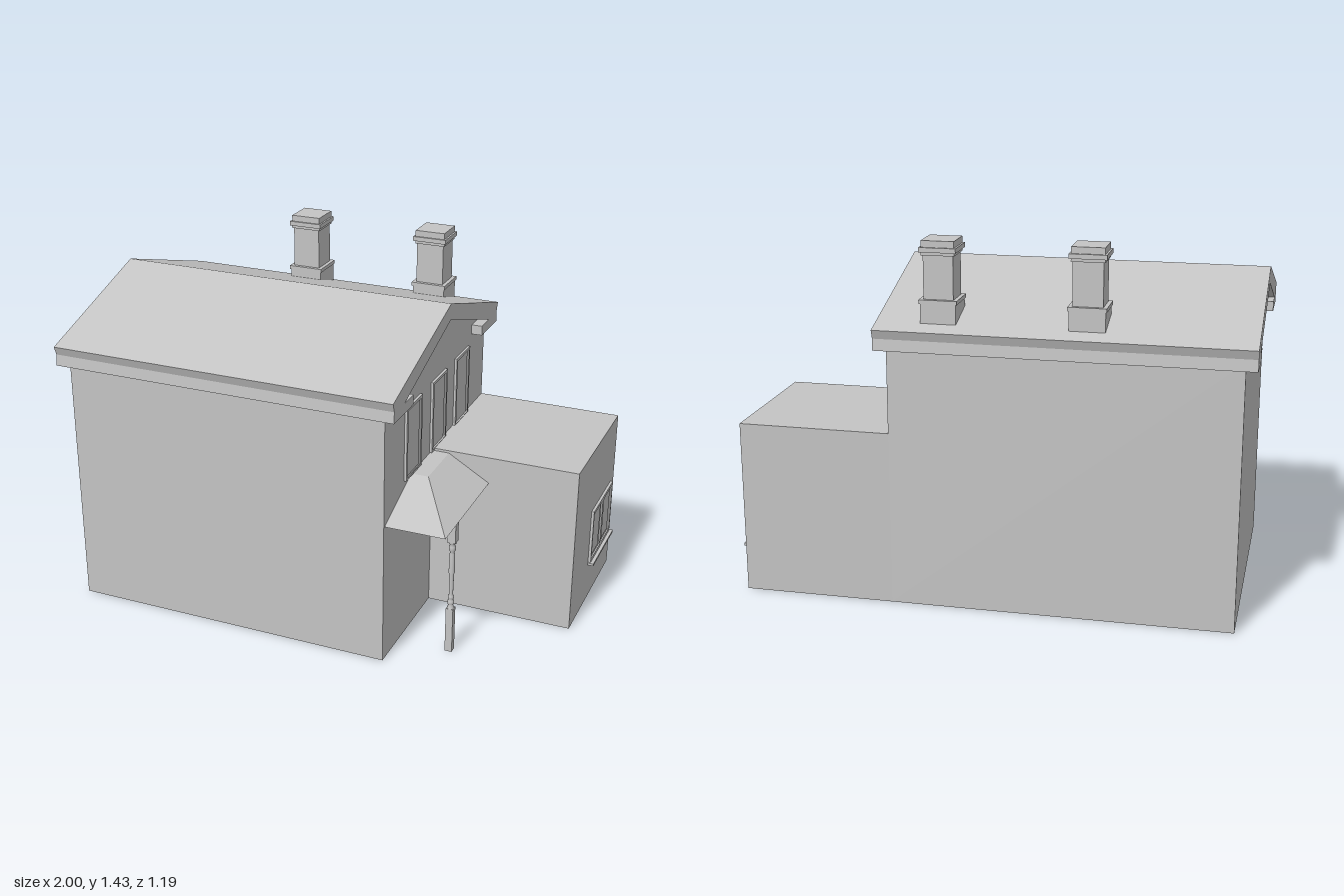
import * as THREE from 'three';

const grey = new THREE.MeshStandardMaterial({ color: 0xc4c4c4 });
grey.name = 'plaster grey';

function add(parent, name, geometry, x = 0, y = 0, z = 0) {
  const mesh = new THREE.Mesh(geometry, grey);
  mesh.name = name;
  mesh.position.set(x, y, z);
  parent.add(mesh);
  return mesh;
}

// Box given by its limits on each axis
function block(parent, name, [x0, x1], [y0, y1], [z0, z1]) {
  return add(parent, name, new THREE.BoxGeometry(x1 - x0, y1 - y0, z1 - z0),
    (x0 + x1) / 2, (y0 + y1) / 2, (z0 + z1) / 2);
}

// Extrude a [z, y] outline along x, with optional holes
function extrudeX(points, x0, x1, holes = []) {
  const toVec = ([z, y]) => new THREE.Vector2(-z, y);
  const shape = new THREE.Shape(points.map(toVec));
  holes.forEach(h => shape.holes.push(new THREE.Path(h.map(toVec))));
  const g = new THREE.ExtrudeGeometry(shape, { depth: x1 - x0, bevelEnabled: false });
  return g.rotateY(Math.PI / 2).translate(x0, 0, 0);
}

const rect = (z0, z1, y0, y1) => [[z0, y0], [z1, y0], [z1, y1], [z0, y1]];
const mirrored = half => [...half, ...half.filter(p => p[0] !== 0).reverse().map(([z, y]) => [-z, y])];

// Frame with openings and a recessed pane in each
function windowUnit(parent, name, x, outer, openings, depth) {
  const group = new THREE.Group();
  group.name = name;
  add(group, 'windowFrame', extrudeX(rect(...outer), x, x + depth, openings.map(o => rect(...o))));
  openings.forEach(([z0, z1, y0, y1]) =>
    block(group, 'windowPane', [x, x + 0.003], [y0, y1], [z0, z1]));
  parent.add(group);
  return group;
}

function chimney(parent, x, z) {
  const group = new THREE.Group();
  group.name = 'chimney';
  // [part, bottom, top, width]
  const tiers = [
    ['chimneyBase', 1.08, 1.195, 0.136], ['chimneyLowerBand', 1.195, 1.21, 0.145],
    ['chimneyShaft', 1.21, 1.375, 0.114], ['chimneyNeck', 1.375, 1.387, 0.126],
    ['chimneyUpperBand', 1.387, 1.405, 0.14], ['chimneyCap', 1.405, 1.43, 0.125],
  ];
  for (const [name, y0, y1, w] of tiers)
    add(group, name, new THREE.BoxGeometry(w, y1 - y0, w), 0, (y0 + y1) / 2, 0);
  group.position.set(x, 0, z);
  parent.add(group);
}

// Hipped canopy: slopes to the side and to the front, flat on top
function canopyGeometry() {
  const [a, b] = [0.375, 0.615], [back, front] = [0.05, 0.55], [low, high] = [0.58, 0.68];
  const ring = (x, z, y) => [[a, y, back], [a, y, z], [x, y, z], [x, y, back]];
  const bottom = ring(b, front, low), top = ring(0.445, 0.28, high);
  const pos = [];
  const quad = (p, q, r, s) => pos.push(...p, ...q, ...r, ...p, ...r, ...s);
  for (let i = 0; i < 4; i++) {
    const j = (i + 1) % 4;
    quad(bottom[i], bottom[j], top[j], top[i]);
  }
  quad(...top);
  quad(...bottom.slice().reverse());
  const g = new THREE.BufferGeometry();
  g.setAttribute('position', new THREE.Float32BufferAttribute(pos, 3));
  g.computeVertexNormals();
  return g;
}

function post(parent, x, z) {
  const group = new THREE.Group();
  group.name = 'porchPost';
  add(group, 'postFoot', new THREE.BoxGeometry(0.029, 0.19, 0.029), 0, 0.095, 0);
  add(group, 'postHead', new THREE.BoxGeometry(0.033, 0.1, 0.033), 0, 0.53, 0);
  // Turned shaft with beads at both ends
  const profile = [
    [0.0145, 0.19], [0.009, 0.205], [0.013, 0.21], [0.013, 0.222], [0.008, 0.227],
    [0.012, 0.235], [0.012, 0.243], [0.008, 0.25], [0.0095, 0.34], [0.012, 0.346],
    [0.01, 0.43], [0.007, 0.434], [0.013, 0.445], [0.013, 0.46], [0.009, 0.467],
    [0.015, 0.474], [0.015, 0.482],
  ].map(p => new THREE.Vector2(...p));
  add(group, 'postShaft', new THREE.LatheGeometry(profile, 16));
  group.position.set(x, 0, z);
  parent.add(group);
}

export function createModel() {
  const house = new THREE.Group();
  house.name = 'house';

  // Main walls with gable ends
  add(house, 'mainWalls', extrudeX(
    [[0.558, 0], [0.558, 1.045], [0.45, 1.08], [0, 1.25], [-0.45, 1.08], [-0.556, 1.045], [-0.556, 0]],
    -0.955, 0.375));

  // Pitched roof with overhanging verge, moulded eaves and cornice returns
  const lower = [[0.39, 1.02], [0.39, 1.06], [0.48, 1.06], [0, 1.22]];
  const upper = [[0.584, 1.02], [0.58, 1.065], [0.593, 1.1], [0, 1.285]];
  add(house, 'roof', extrudeX([...mirrored(upper), ...mirrored(lower).reverse()], -1, 0.42));

  chimney(house, -0.378, -0.461);
  chimney(house, 0.18, -0.461);

  // Flat-roofed side wing
  block(house, 'sideWing', [0.375, 0.975], [0, 0.69], [-0.556, 0.05]);

  // Row of upper windows in the gable wall
  for (const z of [0.278, 0, -0.27])
    windowUnit(house, 'upperWindow', 0.375, [z - 0.081, z + 0.081, 0.683, 0.982],
      [[z - 0.067, z + 0.067, 0.692, 0.97]], 0.01);

  // Double window with sill on the wing
  const wingWindow = windowUnit(house, 'wingWindow', 0.975, [-0.508, -0.202, 0.175, 0.408],
    [[-0.34, -0.212, 0.19, 0.394], [-0.494, -0.366, 0.19, 0.394]], 0.011);
  block(wingWindow, 'windowSill', [0.975, 1], [0.165, 0.175], [-0.516, -0.194]);

  // Corner porch
  add(house, 'porchRoof', canopyGeometry());
  post(house, 0.586, 0.382);

  return house;
}
